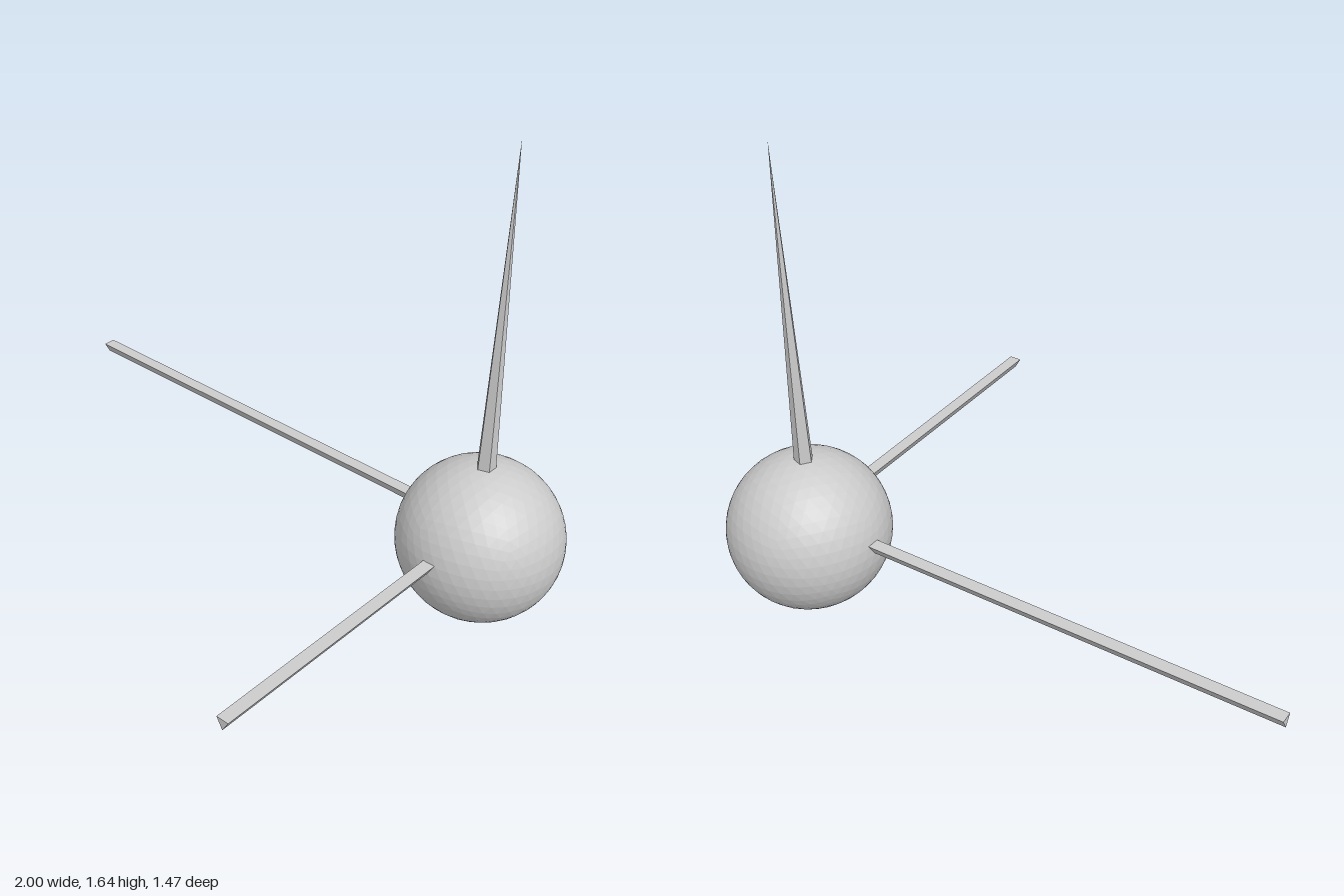
import * as THREE from 'three';

const CENTER = new THREE.Vector3(0.727, 0.273, -0.465);
const RADIUS = 0.272;

export function createModel() {
  const group = new THREE.Group();
  const material = new THREE.MeshStandardMaterial({ color: 0xcccccc, flatShading: true });

  const add = (name, geometry, x, y, z) => {
    const mesh = new THREE.Mesh(geometry, material);
    mesh.name = name;
    mesh.position.set(x, y, z);
    group.add(mesh);
  };

  // Faceted ball, turned so that a corner points straight up
  const ball = new THREE.IcosahedronGeometry(RADIUS, 7);
  ball.rotateZ(Math.atan(2 / (1 + Math.sqrt(5))));
  add('ball', ball, CENTER.x, CENTER.y, CENTER.z);

  // Five-sided spike rising from the top of the ball
  const base = 0.5, tip = 1.637;
  const spike = new THREE.ConeGeometry(0.033, tip - base, 5);
  spike.rotateY(-Math.PI / 2);
  add('spike', spike, 0.723, (base + tip) / 2, -0.463);

  // Three-sided rods along z, with one edge pointing down
  const rod = (length) => new THREE.CylinderGeometry(0.025, 0.025, length, 3).rotateX(Math.PI / 2);
  const rodY = 0.302, inner = 0.2;

  const frontStart = CENTER.z + inner, frontEnd = 0.735;
  add('frontRod', rod(frontEnd - frontStart), 0.72, rodY, (frontStart + frontEnd) / 2);

  const sideStart = CENTER.x - inner, sideEnd = -1;
  add('sideRod', rod(sideStart - sideEnd).rotateY(Math.PI / 2), (sideStart + sideEnd) / 2, rodY, -0.466);

  return group;
}
